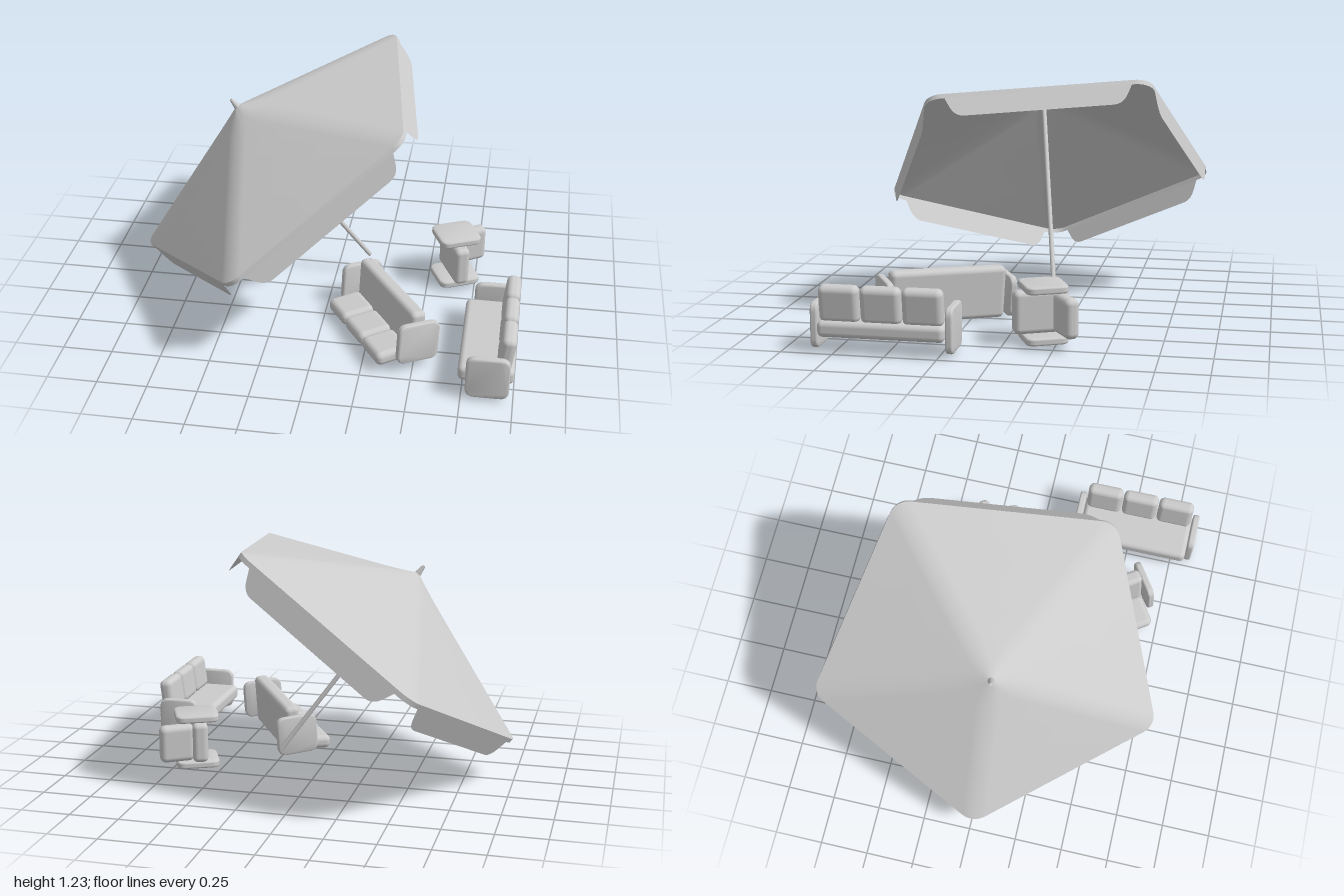
import * as THREE from 'three';
import { RoundedBoxGeometry } from 'three/addons/geometries/RoundedBoxGeometry.js';
import { toCreasedNormals } from 'three/addons/utils/BufferGeometryUtils.js';

const solid = new THREE.MeshStandardMaterial({ color: 0xcccccc });
const cloth = new THREE.MeshStandardMaterial({ color: 0xcccccc, side: THREE.DoubleSide });

function add(parent, name, geometry, x = 0, y = 0, z = 0, material = solid) {
  const mesh = new THREE.Mesh(geometry, material);
  mesh.name = name;
  mesh.position.set(x, y, z);
  parent.add(mesh);
  return mesh;
}

// Places a group by its origin, its up direction and its front direction
function pose(group, origin, up, front) {
  const y = new THREE.Vector3(...up).normalize();
  const x = new THREE.Vector3().crossVectors(y, new THREE.Vector3(...front)).normalize();
  const z = new THREE.Vector3().crossVectors(x, y);
  group.quaternion.setFromRotationMatrix(new THREE.Matrix4().makeBasis(x, y, z));
  group.position.set(...origin);
  return group;
}

// Pentagon outline with rounded corners, counter-clockwise seen from above
const SIDES = 5, STEP = Math.PI * 2 / SIDES, ARC = 8;
function pentagon(radius, corner, y) {
  const points = [];
  const centre = radius - corner / Math.cos(STEP / 2);
  for (let k = 0; k < SIDES; k++) {
    for (let i = 0; i <= ARC; i++) {
      const a = k * STEP, b = a + (i / ARC - 0.5) * STEP;
      points.push([
        Math.sin(a) * centre + Math.sin(b) * corner, y,
        Math.cos(a) * centre + Math.cos(b) * corner,
      ]);
    }
  }
  return points;
}

// Canopy skin: rings from the apex to the rim, then a short turned-down hem
function canopyGeometry(radius, corner, height) {
  const rings = [0.001, 0.04, 0.1, 0.2, 0.4, 0.7, 1].map((t) =>
    pentagon(radius * t, Math.min(corner, radius * t * 0.75), height * (1 - t)));
  rings.push(pentagon(radius, corner, -0.025));
  const n = rings[0].length, index = [];
  for (let r = 0; r < rings.length - 1; r++) {
    for (let i = 0; i < n; i++) {
      const a = r * n + i, b = r * n + (i + 1) % n;
      index.push(a, a + n, b + n, a, b + n, b);
    }
  }
  const geometry = new THREE.BufferGeometry();
  geometry.setAttribute('position', new THREE.Float32BufferAttribute(rings.flat(2), 3));
  geometry.setIndex(index);
  return toCreasedNormals(geometry, 0.8);
}

function createParasol() {
  const parasol = new THREE.Group();
  parasol.name = 'parasol';
  const radius = 0.92, corner = 0.1, height = 0.375;
  add(parasol, 'canopy', canopyGeometry(radius, corner, height), 0, 0, 0, cloth);

  // Hanging flap with cut-back lower corners, one on each side
  const w = radius * Math.sin(STEP / 2) - corner * Math.tan(STEP / 2);
  const flap = new THREE.Shape();
  flap.moveTo(-w, 0);
  flap.lineTo(-w + 0.035, -0.075);
  flap.quadraticCurveTo(-w + 0.06, -0.13, -w + 0.11, -0.13);
  flap.lineTo(w - 0.11, -0.13);
  flap.quadraticCurveTo(w - 0.06, -0.13, w - 0.035, -0.075);
  flap.lineTo(w, 0);
  const flapGeometry = new THREE.ShapeGeometry(flap, 8);
  const apothem = radius * Math.cos(STEP / 2);
  for (let k = 0; k < SIDES; k++) {
    const a = (k + 0.5) * STEP;
    const mesh = add(parasol, 'canopyFlap', flapGeometry,
      Math.sin(a) * apothem, 0, Math.cos(a) * apothem, cloth);
    mesh.rotation.y = a;
  }

  // Pole with a small tip above the canopy
  add(parasol, 'pole', new THREE.CylinderGeometry(0.012, 0.012, 1.16, 16), 0, -0.2, 0);
  add(parasol, 'poleTip', new THREE.CylinderGeometry(0.008, 0.017, 0.05, 16), 0, 0.395, 0);
  return parasol;
}

// Flat armrest panel with rounded corners
function armGeometry(depth, height, thickness) {
  const r = 0.035, bevel = 0.01;
  const x = depth / 2 - bevel, y = height / 2 - bevel;
  const shape = new THREE.Shape();
  shape.moveTo(-x + r, -y);
  shape.lineTo(x - r, -y);
  shape.quadraticCurveTo(x, -y, x, -y + r);
  shape.lineTo(x, y - r);
  shape.quadraticCurveTo(x, y, x - r, y);
  shape.lineTo(-x + r, y);
  shape.quadraticCurveTo(-x, y, -x, y - r);
  shape.lineTo(-x, -y + r);
  shape.quadraticCurveTo(-x, -y, -x + r, -y);
  const geometry = new THREE.ExtrudeGeometry(shape, {
    depth: thickness - 2 * bevel, bevelThickness: bevel, bevelSize: bevel,
    bevelSegments: 4, curveSegments: 6,
  });
  geometry.center();
  geometry.rotateY(Math.PI / 2);
  return toCreasedNormals(geometry, 0.7);
}

// Seat with back cushions and two arm panels; the origin is the seat's middle
function createSeating(name, cushions) {
  const group = new THREE.Group();
  group.name = name;
  const pitch = 0.2, width = cushions * pitch;
  add(group, 'seat', new RoundedBoxGeometry(width + 0.01, 0.08, 0.27, 5, 0.027));
  const cushion = new RoundedBoxGeometry(pitch - 0.005, 0.18, 0.072, 5, 0.03);
  for (let i = 0; i < cushions; i++) {
    const mesh = add(group, 'backCushion', cushion, (i - (cushions - 1) / 2) * pitch, 0.12, -0.092);
    mesh.rotation.x = -0.13;
  }
  const arm = armGeometry(0.21, 0.222, 0.036);
  for (const side of [-1, 1]) {
    add(group, 'armPanel', arm, side * (width / 2 + 0.023), 0.01, -0.01);
  }
  return group;
}

export function createModel() {
  const model = new THREE.Group();
  model.name = 'parasolAndSeating';
  model.add(
    // Leaning parasol
    pose(createParasol(), [-0.27, 0.755, -0.045], [-0.58, 0.8, 0.15], [-0.82, -0.565, 0.08]),
    // Upright sofa facing the parasol
    pose(createSeating('uprightSofa', 3), [0.865, 0.12, 0.52], [0, 1, 0], [-1, 0, 0]),
    // Sofa tipped onto its back
    pose(createSeating('tippedSofa', 3), [0.355, 0.15, 0.357], [-0.84, 0.075, 0.54], [-0.01, 1, -0.04]),
    // Armchair lying on its side
    pose(createSeating('fallenArmchair', 1), [0.635, 0.163, -0.17], [0.91, 0, -0.42], [0.42, 0, 0.91]),
  );
  return model;
}
